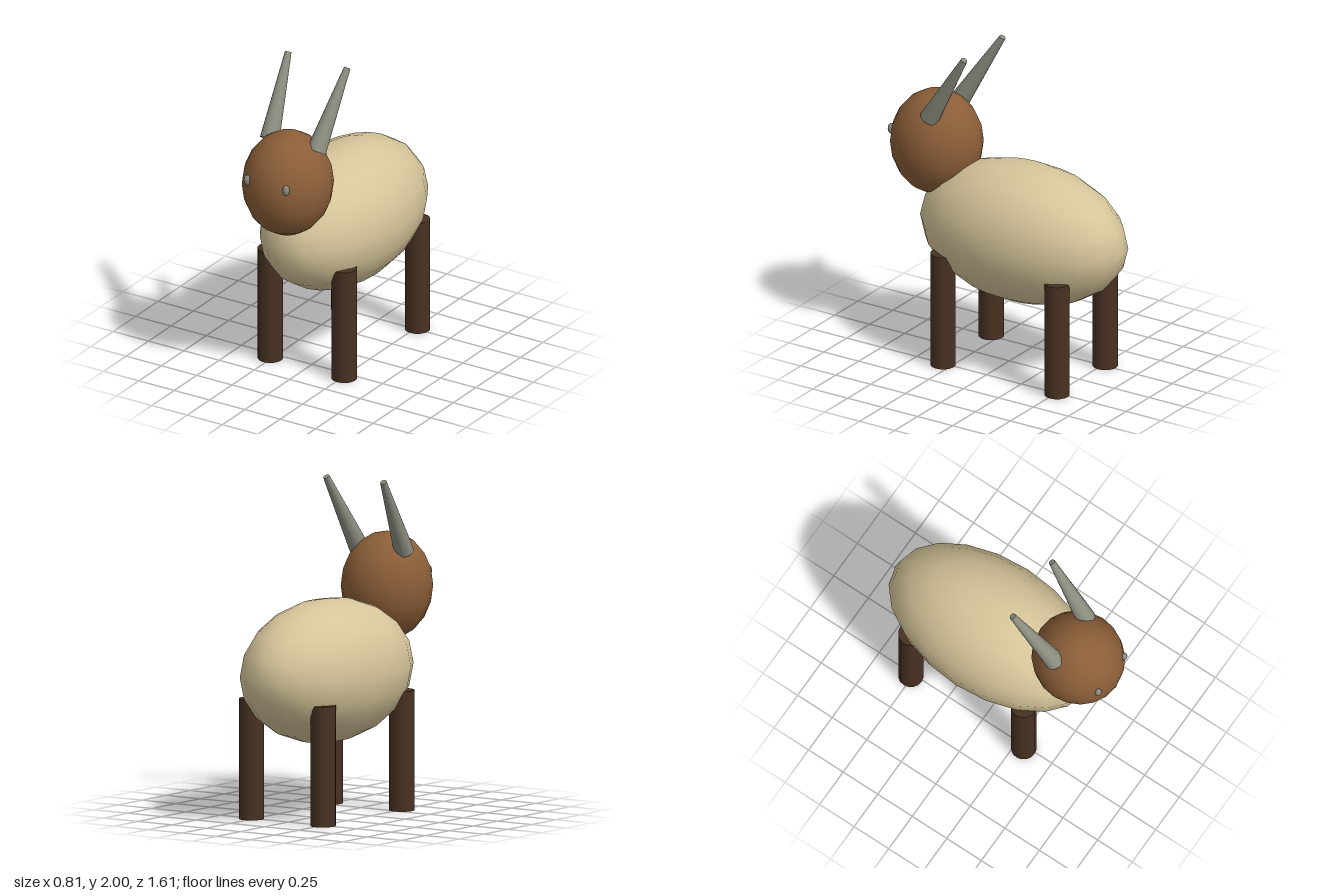
import * as THREE from 'three';

const mat = (name, color) => {
  const m = new THREE.MeshStandardMaterial({ color });
  m.name = name;
  return m;
};

export function createModel() {
  const cream = mat('cream wool', 0xd6c59a);
  const brown = mat('brown face', 0x8b5e38);
  const dark = mat('dark brown legs', 0x483222);
  const grey = mat('grey horn', 0x8b8d80);

  const group = new THREE.Group();
  group.name = 'hornedAnimal';

  const add = (name, geometry, material) => {
    const mesh = new THREE.Mesh(geometry, material);
    mesh.name = name;
    group.add(mesh);
    return mesh;
  };
  const ellipsoid = (name, material, center, radii, w = 20, h = 10) => {
    const mesh = add(name, new THREE.SphereGeometry(1, w, h), material);
    mesh.position.set(...center);
    mesh.scale.set(...radii);
    return mesh;
  };

  // Body and head
  ellipsoid('body', cream, [0, 0.872, -0.105], [0.405, 0.433, 0.697]);
  ellipsoid('head', brown, [0, 1.313, 0.52], [0.272, 0.328, 0.285]);

  const up = new THREE.Vector3(0, 1, 0);
  for (const [side, s] of [['left', 1], ['right', -1]]) {
    // Eyes
    ellipsoid(side + 'Eye', grey, [s * 0.137, 1.386, 0.757], [0.022, 0.034, 0.02], 12, 8);

    // Tapered horns leaning back and out
    const base = new THREE.Vector3(s * 0.165, 1.535, 0.463);
    const tip = new THREE.Vector3(s * 0.209, 1.99, 0.187);
    const axis = tip.clone().sub(base);
    const horn = add(side + 'Horn', new THREE.CylinderGeometry(0.02, 0.06, axis.length(), 16), grey);
    horn.position.copy(base).add(tip).multiplyScalar(0.5);
    horn.quaternion.setFromUnitVectors(up, axis.normalize());

    // Legs
    for (const [end, z] of [['Front', 0.303], ['Back', -0.513]]) {
      const leg = add(side + end + 'Leg', new THREE.CylinderGeometry(0.077, 0.077, 0.727, 16), dark);
      leg.position.set(s * 0.262, 0.3635, z);
    }
  }
  return group;
}
